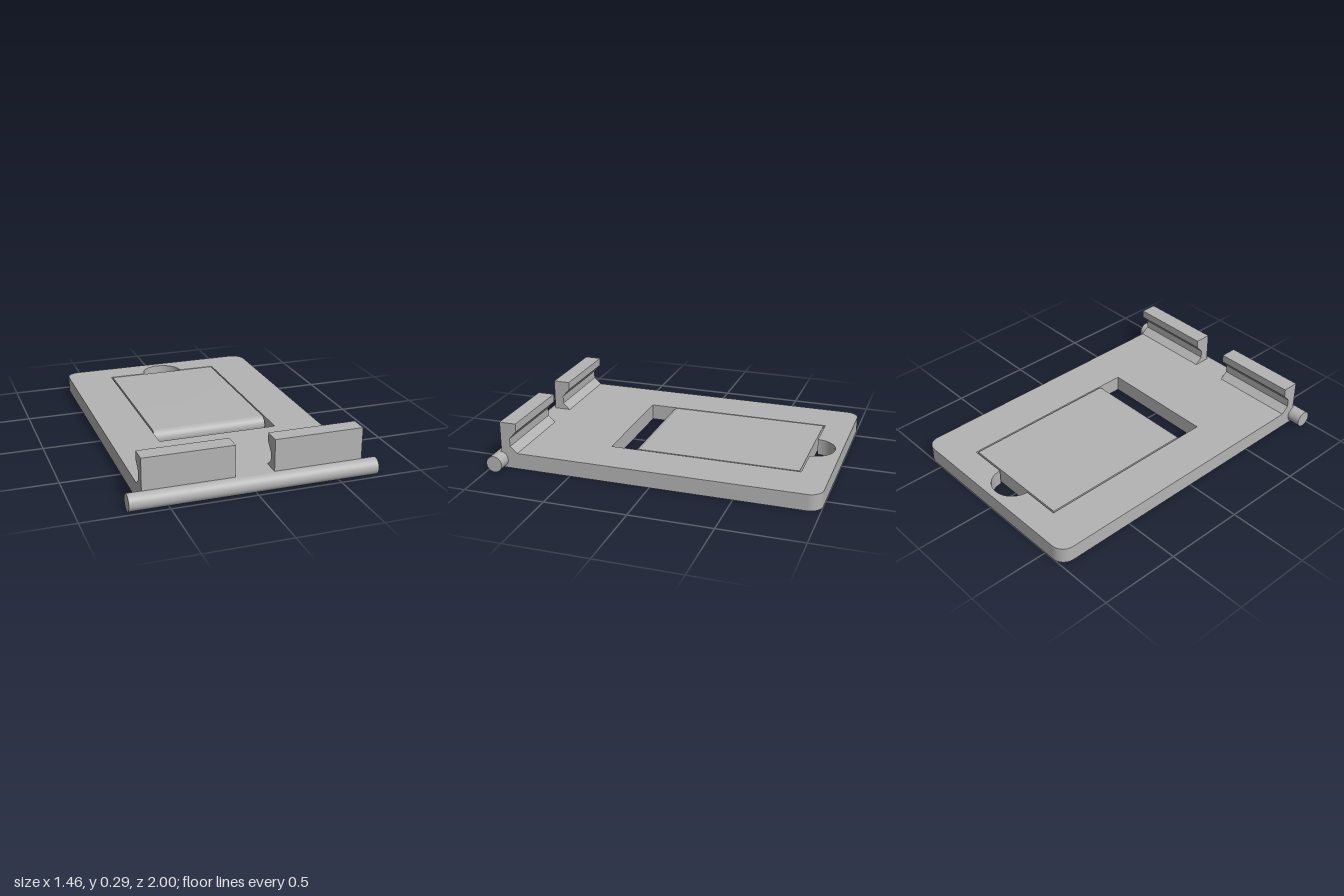
import * as THREE from 'three';
import { toCreasedNormals } from 'three/addons/utils/BufferGeometryUtils.js';

const T = 0.1;       // plate thickness
const R = T / 2;     // rod and hinge radius
const HALF_W = 0.645;

const gray = new THREE.MeshStandardMaterial({ color: 0xb4b4b4 });
gray.name = 'plain gray';

function part(name, geometry) {
  const mesh = new THREE.Mesh(geometry, gray);
  mesh.name = name;
  return mesh;
}

function extrude(shape, depth) {
  return new THREE.ExtrudeGeometry(shape, { depth, bevelEnabled: false, curveSegments: 24 });
}

// Extrudes a (z, y) side profile along x, from x0 to x1
function sideExtrude(shape, x0, x1) {
  const g = extrude(shape, x1 - x0);
  g.rotateY(-Math.PI / 2).translate(x1, 0, 0);
  return toCreasedNormals(g, 0.5);
}

function rod(radius, length, z) {
  const g = new THREE.CylinderGeometry(radius, radius, length, 48);
  return g.rotateZ(Math.PI / 2).translate(0, R, z);
}

// Plate with rounded back corners and a window with a finger notch (shape y is -z)
function plateGeometry() {
  const c = 0.08;
  const s = new THREE.Shape();
  s.moveTo(-HALF_W, -0.95);
  s.lineTo(HALF_W, -0.95);
  s.lineTo(HALF_W, 1 - c);
  s.absarc(HALF_W - c, 1 - c, c, 0, Math.PI / 2, false);
  s.lineTo(-HALF_W + c, 1);
  s.absarc(-HALF_W + c, 1 - c, c, Math.PI / 2, Math.PI, false);
  s.closePath();

  const w = 0.367, top = 0.828;
  const hole = new THREE.Path();
  hole.moveTo(-w, -0.342);
  hole.lineTo(w, -0.342);
  hole.lineTo(w, top);
  hole.lineTo(0.13, top);
  hole.absarc(0, top, 0.13, 0, Math.PI, false);
  hole.lineTo(-w, top);
  hole.closePath();
  s.holes.push(hole);
  return toCreasedNormals(extrude(s, T).rotateX(-Math.PI / 2), 0.5);
}

// Folding support leg with a round hinge end
function flapShape() {
  const s = new THREE.Shape();
  s.moveTo(-0.818, 0);
  s.lineTo(0.155, 0);
  s.absarc(0.155, R, R, -Math.PI / 2, Math.PI / 2, false);
  s.lineTo(-0.818, T);
  s.closePath();
  return s;
}

// Upright lip with a chamfered groove on its back side
function hookShape() {
  return new THREE.Shape([
    [0.837, T], [0.941, T], [0.941, 0.29], [0.837, 0.29],
    [0.837, 0.24], [0.882, 0.19], [0.882, 0.14],
  ].map(([z, y]) => new THREE.Vector2(z, y)));
}

export function createModel() {
  const model = new THREE.Group();
  model.name = 'foldingStand';

  model.add(part('basePlate', plateGeometry()));
  model.add(part('frontRod', rod(R, 1.46, 0.95)));
  model.add(part('supportFlap', sideExtrude(flapShape(), -0.358, 0.358)));
  model.add(part('hingePin', rod(0.023, 0.734, 0.155)));

  model.add(part('leftHook', sideExtrude(hookShape(), 0.115, HALF_W)));
  model.add(part('rightHook', sideExtrude(hookShape(), -HALF_W, -0.115)));
  return model;
}
